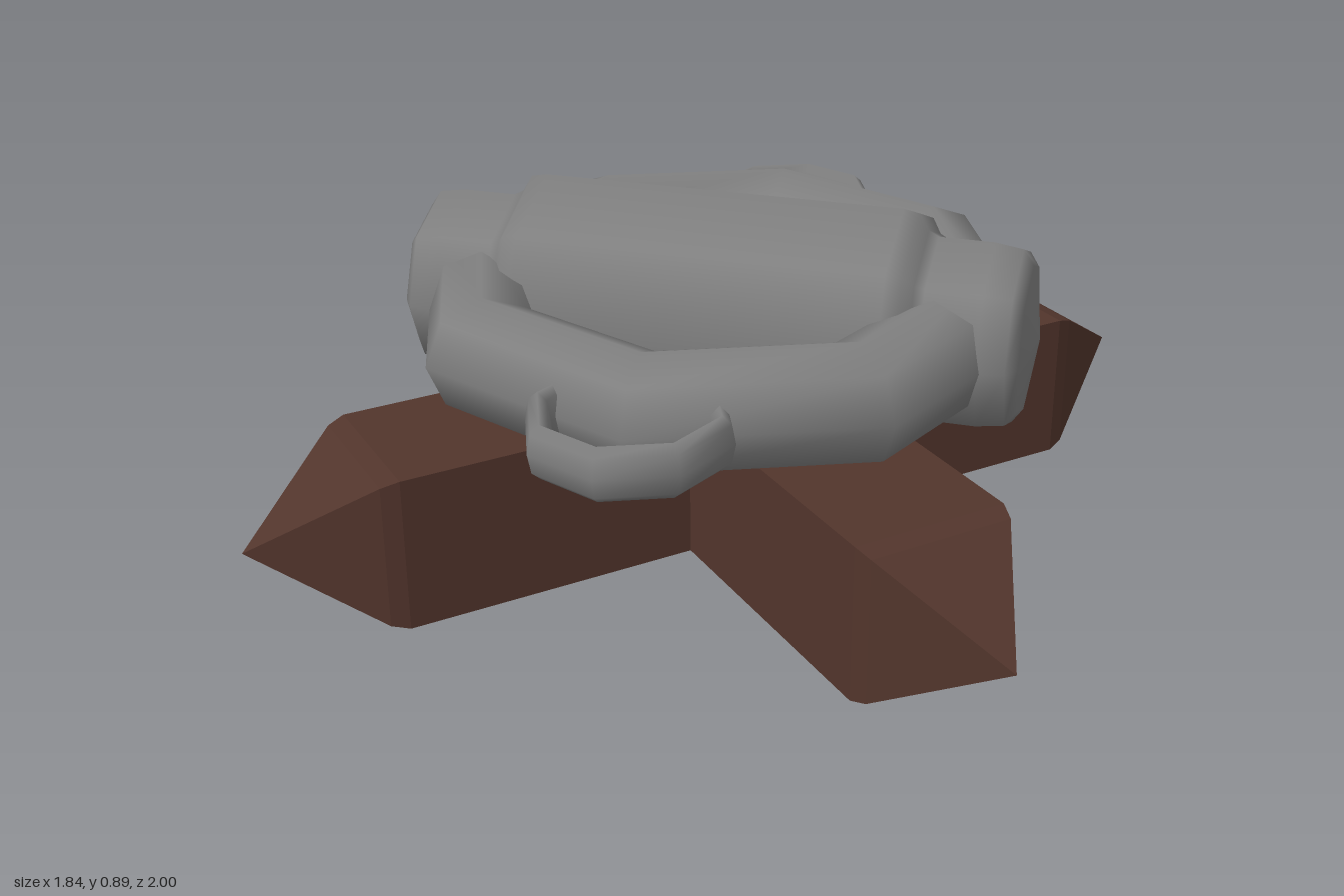
import * as THREE from 'three';

const v = (r, y) => new THREE.Vector2(r, y);

// Turns half a profile (radius, distance from the middle) into a mirrored lathe lying along x.
function spindle(half, sides, phiStart) {
  const lower = half.map(([r, d]) => v(r, -d)).reverse();
  const upper = half.map(([r, d]) => v(r, d));
  return new THREE.LatheGeometry([...lower, ...upper], sides, phiStart).rotateZ(Math.PI / 2);
}

export function createModel() {
  const model = new THREE.Group();
  const metal = new THREE.MeshStandardMaterial({ color: 0x808080 });
  metal.name = 'greyMetal';
  const wood = new THREE.MeshStandardMaterial({ color: 0x52352c, flatShading: true });
  wood.name = 'darkWood';

  const add = (name, geometry, material, x, y, z) => {
    const mesh = new THREE.Mesh(geometry, material);
    mesh.name = name;
    mesh.position.set(x, y, z);
    model.add(mesh);
    return mesh;
  };

  // Two crossed square beams with pointed ends
  const beam = spindle([[0.284, 0.965], [0.265, 1.01], [0, 1.3]], 4, Math.PI / 4);
  for (const side of [1, -1]) {
    add(side > 0 ? 'beamA' : 'beamB', beam, wood, 0, 0.204, 0).rotation.y = side * Math.PI / 4;
  }

  // Thick eight-sided barrel, stepped down to narrower domed ends
  const core = spindle([[0.31, 0.47], [0.302, 0.51], [0.26, 0.535], [0.246, 0.56],
    [0.246, 0.7], [0.235, 0.77], [0.195, 0.797], [0, 0.825]], 8, 0);
  add('barrel', core, metal, 0, 0.58, 0);

  // Large ring around the barrel
  const ring = new THREE.TorusGeometry(0.66, 0.152, 8, 8).rotateX(Math.PI / 2);
  add('largeRing', ring, metal, 0, 0.58, 0);

  // Flat handle loops at the front and back of the ring
  const loop = new THREE.TorusGeometry(0.218, 0.032, 8, 8).scale(1, 1, 2.1).rotateX(Math.PI / 2);
  for (const side of [1, -1]) {
    add(side > 0 ? 'frontHandle' : 'backHandle', loop, metal, 0, 0.578, side * 0.75);
  }

  return model;
}
